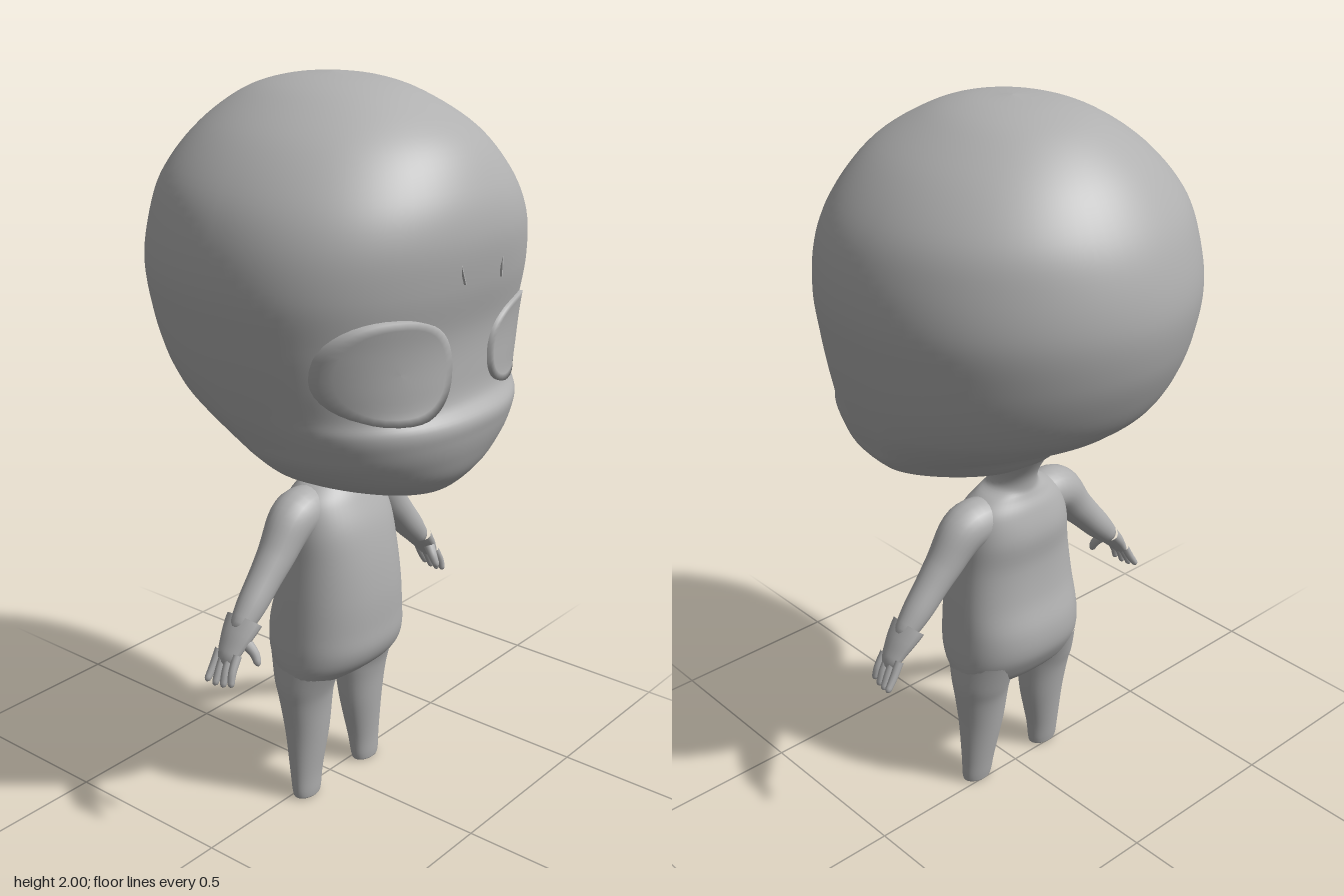
import * as THREE from 'three';
import { mergeVertices } from 'three/addons/utils/BufferGeometryUtils.js';

const clay = new THREE.MeshStandardMaterial({ color: 0xb0b0b0 });
clay.name = 'grey clay';

// Smooth interpolation of rows of numbers, t from 0 to 1
function sample(rows, t) {
  const f = t * (rows.length - 1);
  const i = Math.min(Math.floor(f), rows.length - 2);
  const u = f - i;
  const row = k => rows[Math.min(Math.max(k, 0), rows.length - 1)];
  const [a, b, c, d] = [row(i - 1), row(i), row(i + 1), row(i + 2)];
  return b.map((v, k) => v + 0.5 * u * (c[k] - a[k]
    + u * (2 * a[k] - 5 * v + 4 * c[k] - d[k] + u * (3 * (v - c[k]) + d[k] - a[k]))));
}

// Horizontal cross-sections, bottom to top:
// [y, centre x, half width, back z, front z, z of widest point, front exponent, back exponent]
function loft(rows, rings, sides) {
  const pos = [], index = [];
  const pow = (v, n) => Math.sign(v) * Math.pow(Math.abs(v), 2 / n);
  for (let i = 0; i <= rings; i++) {
    const [y, cx, w, zb, zf, zc, nf, nb] = sample(rows, i / rings);
    for (let j = 0; j < sides; j++) {
      const a = (j / sides) * Math.PI * 2;
      const s = Math.sin(a), c = Math.cos(a);
      const n = c >= 0 ? nf : nb;
      pos.push(cx + w * pow(s, n), y, zc + (c >= 0 ? zf - zc : zc - zb) * pow(c, n));
      if (i < rings) {
        const p = i * sides + j, q = i * sides + (j + 1) % sides;
        index.push(p, q, q + sides, p, q + sides, p + sides);
      }
    }
  }
  return build(pos, index);
}

function build(pos, index) {
  const g = new THREE.BufferGeometry();
  g.setAttribute('position', new THREE.Float32BufferAttribute(pos, 3));
  g.setIndex(index);
  g.computeVertexNormals();
  return g;
}

// Tapered round-ended limb along a path
function limb(points, radii, depth = 1, sides = 16, round = 0.15) {
  const curve = new THREE.CatmullRomCurve3(points.map(p => new THREE.Vector3(...p)));
  const segs = 28;
  const g = new THREE.TubeGeometry(curve, segs, 1, sides);
  const pos = g.attributes.position, v = new THREE.Vector3();
  for (let i = 0; i <= segs; i++) {
    const t = i / segs, c = curve.getPointAt(t);
    const e = Math.max(0, (t - 1 + round) / round);
    const r = sample(radii.map(x => [x]), t)[0] * Math.sqrt(Math.max(0, 1 - e * e));
    for (let j = 0; j <= sides; j++) {
      const k = i * (sides + 1) + j;
      v.fromBufferAttribute(pos, k).sub(c).multiplyScalar(r);
      v.z *= depth;
      v.add(c);
      pos.setXYZ(k, v.x, v.y, v.z);
    }
  }
  g.deleteAttribute('normal');
  g.deleteAttribute('uv');
  const m = mergeVertices(g, 1e-5);
  m.computeVertexNormals();
  return m;
}

const HEAD = [
  [0.962, 0, 0, 0.22, 0.22, 0.22, 2, 2],
  [0.97, 0, 0.08, 0.06, 0.33, 0.2, 2, 2],
  [0.99, 0, 0.18, -0.01, 0.385, 0.17, 2, 1.8],
  [1.04, 0, 0.3, -0.09, 0.432, 0.13, 2.1, 1.6],
  [1.10, 0, 0.37, -0.155, 0.46, 0.1, 2.2, 1.6],
  [1.155, 0, 0.4, -0.26, 0.476, 0.07, 2.3, 1.7],
  [1.2, 0, 0.421, -0.325, 0.48, 0.05, 2.3, 1.8],
  [1.245, 0, 0.437, -0.375, 0.449, 0.04, 2.35, 1.9],
  [1.32, 0, 0.458, -0.42, 0.443, 0.03, 2.4, 1.95],
  [1.42, 0, 0.477, -0.46, 0.447, 0.03, 2.4, 1.95],
  [1.54, 0, 0.49, -0.48, 0.472, 0.03, 2.3, 1.95],
  [1.66, 0, 0.472, -0.463, 0.482, 0.03, 2.2, 1.95],
  [1.765, 0, 0.424, -0.42, 0.456, 0.02, 2.1, 2],
  [1.87, 0, 0.33, -0.34, 0.385, 0.02, 2, 2],
  [1.95, 0, 0.21, -0.233, 0.255, 0.01, 2, 2],
  [1.987, 0, 0.11, -0.12, 0.14, 0.01, 2, 2],
  [2.0, 0, 0, 0.01, 0.01, 0.01, 2, 2],
];

const TORSO = [
  [0.345, 0, 0, 0.02, 0.02, 0.02, 2, 2],
  [0.352, 0, 0.1, -0.045, 0.06, 0.02, 2.2, 2.2],
  [0.37, 0, 0.185, -0.078, 0.1, 0.02, 2.3, 2.3],
  [0.413, 0, 0.203, -0.108, 0.154, 0.02, 2.3, 2.3],
  [0.466, 0, 0.206, -0.13, 0.18, 0.02, 2.3, 2.3],
  [0.535, 0, 0.202, -0.13, 0.182, 0.02, 2.3, 2.3],
  [0.625, 0, 0.194, -0.106, 0.18, 0.02, 2.3, 2.3],
  [0.73, 0, 0.182, -0.095, 0.168, 0.02, 2.3, 2.3],
  [0.82, 0, 0.172, -0.1, 0.148, 0.02, 2.3, 2.3],
  [0.89, 0, 0.155, -0.083, 0.117, 0.015, 2.2, 2.2],
  [0.93, 0, 0.115, -0.064, 0.094, 0.01, 2, 2],
  [0.955, 0, 0.07, -0.058, 0.083, 0.01, 2, 2],
  [1.0, 0, 0.068, -0.068, 0.09, 0.01, 2, 2],
  [1.07, 0, 0.1, -0.11, 0.12, 0.01, 2, 2],
];

const LEG = [
  [0, 0.132, 0, 0.025, 0.025, 0.025, 2, 2],
  [0, 0.132, 0.038, -0.002, 0.05, 0.025, 2, 2],
  [0.015, 0.132, 0.048, -0.009, 0.056, 0.025, 2, 2],
  [0.08, 0.129, 0.054, -0.02, 0.06, 0.022, 2, 2],
  [0.2, 0.12, 0.069, -0.04, 0.073, 0.018, 2, 2],
  [0.3, 0.121, 0.08, -0.058, 0.083, 0.015, 2, 2],
  [0.36, 0.122, 0.084, -0.076, 0.097, 0.015, 2, 2],
  [0.44, 0.11, 0.09, -0.1, 0.13, 0.015, 2, 2],
];

// Depth of the face at a given x and y
function faceZ(x, y) {
  let lo = 0, hi = 1;
  for (let k = 0; k < 30; k++) {
    const mid = (lo + hi) / 2;
    if (sample(HEAD, mid)[0] < y) lo = mid; else hi = mid;
  }
  const [, , w, , zf, zc, n] = sample(HEAD, lo);
  return zc + (zf - zc) * Math.pow(Math.max(0, 1 - Math.pow(Math.abs(x) / w, n)), 1 / n);
}

// Oval eye shell following the face, with its rim sunk into the head
function eye(cx, cy, rx, ry, tilt, lift) {
  const pos = [], index = [], sides = 40, rings = 8;
  for (let i = 0; i <= rings; i++) {
    const r = Math.min(i / (rings - 1), 1);
    for (let j = 0; j < sides; j++) {
      const a = (j / sides) * Math.PI * 2;
      const c = Math.cos(a), s = Math.sin(a);
      const x = cx + r * rx * Math.sign(c) * Math.pow(Math.abs(c), 0.87);
      const y = cy + r * (ry * Math.sign(s) * Math.pow(Math.abs(s), 0.87) + tilt * c);
      pos.push(x, y, faceZ(x, y) + (i === rings ? -0.015 : lift));
      if (i < rings) {
        const p = i * sides + j, q = i * sides + (j + 1) % sides;
        index.push(p, p + sides, q + sides, p, q + sides, q);
      }
    }
  }
  return build(pos, index);
}

export function createModel() {
  const model = new THREE.Group();
  const add = (name, geometry) => {
    const mesh = new THREE.Mesh(geometry, clay);
    mesh.name = name;
    model.add(mesh);
    return mesh;
  };

  add('head', loft(HEAD, 96, 80));
  add('torsoAndNeck', loft(TORSO, 64, 48));
  add('rightEye', eye(-0.257, 1.36, 0.152, 0.13, -0.018, 0.028));
  add('leftEye', eye(0.22, 1.35, 0.14, 0.105, 0.012, 0.01));

  // Faint brow creases
  for (const [x, y, lean] of [[-0.088, 1.585, 0.2], [0.08, 1.575, -0.25]]) {
    const brow = add('browCrease', new THREE.BoxGeometry(0.003, 0.07, 0.006));
    brow.position.set(x, y, faceZ(x, y));
    brow.rotation.set(-0.15, 0, lean);
  }

  for (const side of [1, -1]) {
    const label = side > 0 ? 'left' : 'right';
    const at = pts => pts.map(([x, y, z]) => [x * side, y, z]);
    const leg = LEG.map(r => [r[0], r[1] * side, ...r.slice(2)]);
    add(label + 'Leg', loft(leg, 40, 32));
    add(label + 'Arm', limb(
      at([[0.07, 0.87, 0.01], [0.165, 0.862, 0.015], [0.25, 0.772, 0.018], [0.325, 0.69, 0.018], [0.405, 0.605, 0.018]]),
      [0.06, 0.066, 0.055, 0.046, 0.04, 0.028], 1, 24, 0.08));
    add(label + 'Palm', limb(
      at([[0.37, 0.64, 0.018], [0.41, 0.595, 0.018], [0.452, 0.54, 0.018]]),
      [0.03, 0.026, 0.02, 0.015], 1.9, 16, 0.25));
    add(label + 'Thumb', limb(
      at([[0.405, 0.605, 0.04], [0.392, 0.568, 0.07], [0.393, 0.535, 0.086]]),
      [0.018, 0.014, 0.01], 1, 12, 0.2));
    // Four fingers spread along z
    for (let i = 0; i < 4; i++) {
      const z = 0.048 - i * 0.021, tip = 0.054 - i * 0.024;
      const mid = i === 1 || i === 2 ? 0.006 : 0;
      add(label + 'Finger', limb(
        at([[0.432, 0.57, z], [0.456, 0.528, (z + tip) / 2], [0.466 + i * 0.005, 0.492 - mid, tip]]),
        [0.012, 0.011, 0.009], 1, 10, 0.15));
    }
  }
  return model;
}
